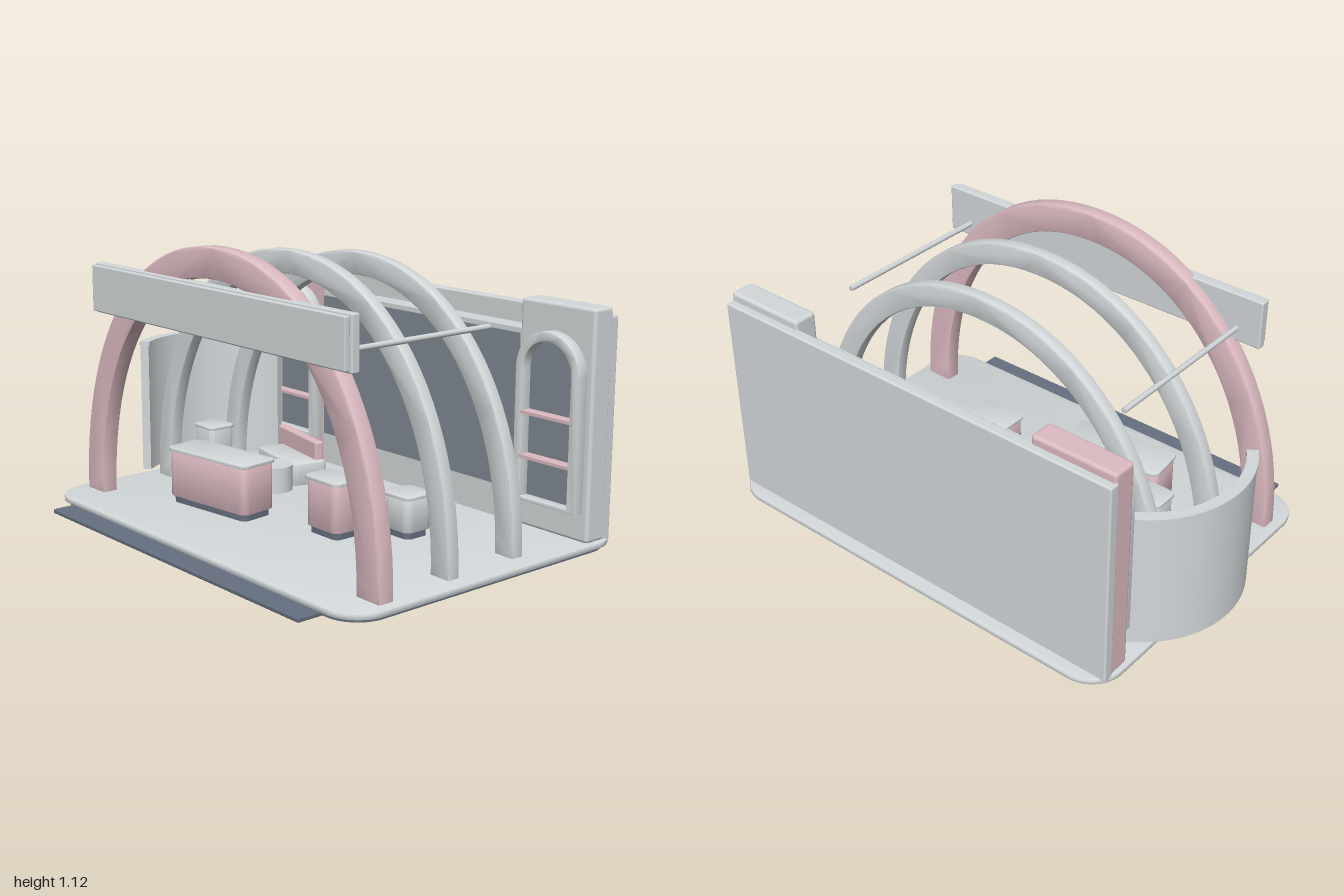
import * as THREE from 'three';
import { toCreasedNormals } from 'three/addons/utils/BufferGeometryUtils.js';
import { RoundedBoxGeometry } from 'three/addons/geometries/RoundedBoxGeometry.js';

const material = (name, color) => {
  const m = new THREE.MeshStandardMaterial({ color });
  m.name = name;
  return m;
};

export function createModel() {
  const group = new THREE.Group();
  const light = material('pale grey', 0xd3d8da);
  const pink = material('dusty pink', 0xddbcc3);
  const slate = material('dark slate', 0x667080);
  const screenGrey = material('screen grey', 0x7f8893);

  const add = (name, geo, mat, parent = group) => {
    const mesh = new THREE.Mesh(geo, mat);
    mesh.name = name;
    parent.add(mesh);
    return mesh;
  };

  // Box given by its limits on each axis
  const box = (name, mat, [x0, x1], [y0, y1], [z0, z1], r = 0, parent = group) => {
    const s = [x1 - x0, y1 - y0, z1 - z0];
    const geo = r ? new RoundedBoxGeometry(...s, 3, r) : new THREE.BoxGeometry(...s);
    const mesh = add(name, geo, mat, parent);
    mesh.position.set((x0 + x1) / 2, (y0 + y1) / 2, (z0 + z1) / 2);
    return mesh;
  };

  // Extrusion with optional bevel kept inside the given depth
  const extrude = (shape, depth, bevel = 0) => {
    const geo = new THREE.ExtrudeGeometry(shape, {
      depth: depth - 2 * bevel, curveSegments: 20, bevelEnabled: bevel > 0,
      bevelSize: bevel, bevelThickness: bevel, bevelOffset: -bevel, bevelSegments: 2,
    });
    geo.translate(0, 0, bevel);
    return toCreasedNormals(geo, 0.6);
  };

  // Upright slab with rounded corners in plan
  const slab = (name, mat, w, d, y0, y1, r, bevel = 0, parent = group) => {
    const s = new THREE.Shape();
    const x = w / 2, y = d / 2;
    s.moveTo(x, -y + r);
    s.absarc(x - r, y - r, r, 0, Math.PI / 2);
    s.absarc(-x + r, y - r, r, Math.PI / 2, Math.PI);
    s.absarc(-x + r, -y + r, r, Math.PI, Math.PI * 1.5);
    s.absarc(x - r, -y + r, r, Math.PI * 1.5, Math.PI * 2);
    const geo = extrude(s, y1 - y0, bevel).rotateX(-Math.PI / 2);
    const mesh = add(name, geo, mat, parent);
    mesh.position.y = y0;
    return mesh;
  };

  // Platform
  const platform = new THREE.Group();
  platform.name = 'platform';
  platform.position.set(0.063, 0, -0.045);
  group.add(platform);
  slab('platformUnderside', slate, 1.83, 1.31, 0, 0.016, 0.13, 0, platform);
  slab('platformDeck', light, 1.87, 1.345, 0.014, 0.038, 0.14, 0.007, platform);
  box('frontStep', slate, [-0.71, 0.83], [0, 0.017], [0.6, 0.717], 0.005);

  // Arches: rounded half ellipses standing on the deck
  const arch = (name, mat, a, b, band, z, depth) => {
    const curve = (ra, rb) => Array.from({ length: 49 }, (_, i) => {
      const t = Math.PI * i / 48, c = Math.cos(t), s = Math.max(0, Math.sin(t));
      return new THREE.Vector2(Math.sign(c) * Math.abs(c) ** 0.95 * ra, s ** 0.95 * rb);
    });
    const shape = new THREE.Shape([...curve(a, b), ...curve(a - band, b - band).reverse()]);
    add(name, extrude(shape, depth, 0.008), mat).position.set(0.062, 0.035, z - depth / 2);
  };
  arch('frontArch', pink, 0.893, 1.088, 0.115, 0.443, 0.068);
  arch('middleArch', light, 0.872, 1.052, 0.09, 0.111, 0.054);
  arch('rearArch', light, 0.856, 1.018, 0.09, -0.227, 0.054);

  // Header sign and the rods tying the arches together
  box('headerBoard', light, [-0.705, 0.83], [0.792, 0.99], [0.456, 0.492], 0.006);
  box('headerFace', light, [-0.695, 0.82], [0.8, 0.983], [0.49, 0.513], 0.005);
  for (const x of [-0.6, 0.725]) {
    const rod = add('tieRod', new THREE.CylinderGeometry(0.011, 0.011, 0.71, 12), light);
    rod.rotation.x = Math.PI / 2;
    rod.position.set(x, 0.847, 0.105);
  }

  // Back wall with screen
  box('backWall', light, [-0.858, 0.975], [0.03, 0.877], [-0.664, -0.62], 0.008);
  box('screenSurround', light, [-0.51, 0.63], [0.035, 0.795], [-0.63, -0.53]);
  box('screen', screenGrey, [-0.5, 0.625], [0.17, 0.777], [-0.53, -0.522]);

  // Side pillars, each with an arched shelf niche
  const archOutline = (r, h, T) => {
    const s = new T();
    s.moveTo(-r, 0);
    s.lineTo(r, 0);
    s.absarc(0, h, r, 0, Math.PI);
    s.lineTo(-r, 0);
    return s;
  };
  for (const [x, mat, side] of [[-0.677, pink, 'right'], [0.798, light, 'left']]) {
    box(side + 'Pillar', mat, [x - 0.178, x + 0.178], [0.035, 0.912], [-0.633, -0.533], 0.014);
    const frame = archOutline(0.152, 0.508, THREE.Shape);
    const hole = new THREE.Path();
    hole.moveTo(-0.115, 0.015);
    hole.lineTo(-0.115, 0.508);
    hole.absarc(0, 0.508, 0.115, Math.PI, 0, true);
    hole.lineTo(0.115, 0.015);
    frame.holes.push(hole);
    add(side + 'NicheFrame', extrude(frame, 0.052, 0.005), light).position.set(x, 0.15, -0.535);
    add(side + 'NichePanel', extrude(archOutline(0.125, 0.508, THREE.Shape), 0.008), screenGrey)
      .position.set(x, 0.155, -0.534);
    for (const y of [0.322, 0.492])
      box(side + 'NicheShelf', pink, [x - 0.117, x + 0.117], [y - 0.006, y + 0.006], [-0.53, -0.478]);
  }

  // Curved side screen
  const ring = (r0, r1) => {
    const s = new THREE.Shape(), from = 113 * Math.PI / 180, to = 217.5 * Math.PI / 180;
    s.absarc(0, 0, r1, from, to, false);
    s.absarc(0, 0, r0, to, from, true);
    s.closePath();
    return s;
  };
  for (const [name, r0, r1, y0, y1] of [['curvedScreen', 0.378, 0.414, 0.038, 0.585],
    ['curvedScreenRim', 0.374, 0.418, 0.582, 0.598]]) {
    add(name, extrude(ring(r0, r1), y1 - y0).rotateX(-Math.PI / 2), light).position.set(-0.582, y0, -0.1);
  }

  // Display units: dark plinth, coloured body, pale lid
  const unit = (name, mat, x, z, w, d, top, r, turn = 0) => {
    const g = new THREE.Group();
    g.name = name;
    g.position.set(x, 0, z);
    g.rotation.y = turn;
    group.add(g);
    slab(name + 'Plinth', slate, w - 0.035, d - 0.035, 0.036, 0.068, r * 0.8, 0, g);
    slab(name + 'Body', mat, w - 0.012, d - 0.012, 0.064, top - 0.012, r, 0.006, g);
    slab(name + 'Lid', light, w, d, top - 0.014, top, r, 0.004, g);
  };
  unit('counter', pink, -0.243, 0.227, 0.445, 0.18, 0.264, 0.03, 0.12);
  unit('smallCounter', pink, 0.285, 0.1, 0.195, 0.138, 0.26, 0.032);
  unit('displayCube', light, 0.472, -0.11, 0.143, 0.143, 0.205, 0.03);
  unit('displayColumn', light, -0.548, 0.035, 0.132, 0.125, 0.292, 0.025);

  // Round table
  const table = add('roundTable', new THREE.CylinderGeometry(0.077, 0.077, 0.107, 32), light);
  table.position.set(-0.315, 0.0905, -0.095);

  // Bench seat with a pink backrest
  const bench = new THREE.Group();
  bench.name = 'bench';
  bench.position.set(-0.437, 0, -0.29);
  bench.rotation.y = -0.21;
  group.add(bench);
  slab('benchSeat', light, 0.345, 0.165, 0.036, 0.13, 0.03, 0.008, bench);
  box('benchBack', pink, [-0.205, 0.143], [0.12, 0.206], [-0.078, -0.038], 0.01, bench);

  return group;
}
